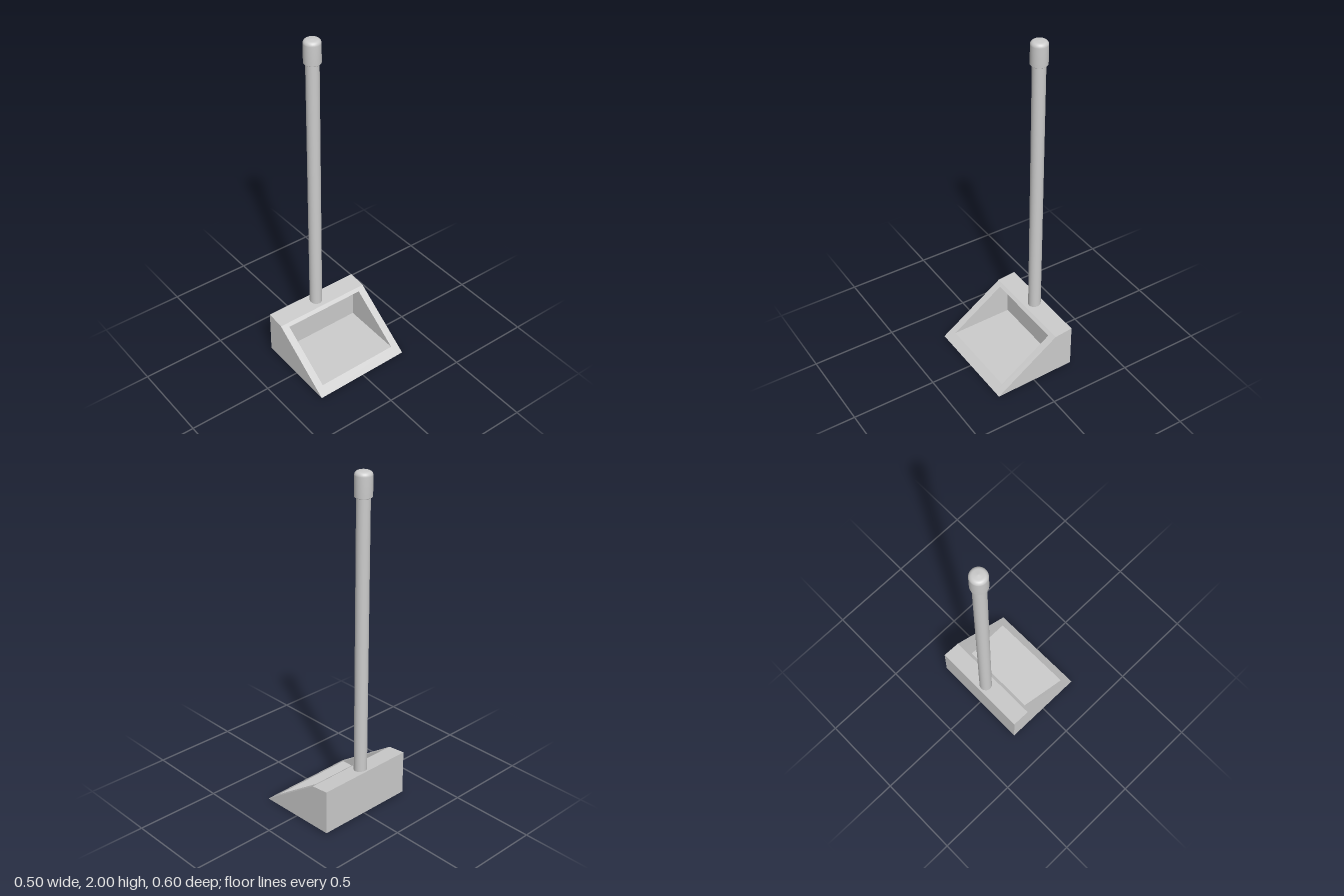
import * as THREE from 'three';

const material = new THREE.MeshStandardMaterial({ color: 0xcccccc, side: THREE.DoubleSide });

// Extrudes an x/y profile between two z planes, with the slightly skewed front lip
function slab(name, points, z0, z1) {
  const shape = new THREE.Shape(points.map(([x, y]) => new THREE.Vector2(x, y)));
  const geometry = new THREE.ExtrudeGeometry(shape, { depth: z1 - z0, bevelEnabled: false });
  geometry.translate(0, 0, z0);
  const p = geometry.attributes.position;
  for (let i = 0; i < p.count; i++) {
    const x = p.getX(i);
    p.setX(i, x + 0.012 * p.getZ(i) * (x + 0.25) / 0.49);
  }
  geometry.computeVertexNormals();
  const mesh = new THREE.Mesh(geometry, material);
  mesh.name = name;
  return mesh;
}

// Turns a radius/height profile into a round part on the handle axis
function turned(name, points, segments = 32) {
  const geometry = new THREE.LatheGeometry(points.map(([r, y]) => new THREE.Vector2(r, y)), segments);
  const mesh = new THREE.Mesh(geometry, material);
  mesh.name = name;
  mesh.position.set(-0.2, 0, 0.005);
  return mesh;
}

export function createModel() {
  const model = new THREE.Group();
  model.name = 'dustpan';

  // Pan: two solid side walls and a hollow middle section with an overhanging hood
  const back = [[-0.25, 0.28], [-0.25, 0.015]];
  const lip = [0.245, 0.002];
  const ridge = [-0.14, 0.268];
  const onSlope = (x) => [x, ridge[1] + (lip[1] - ridge[1]) * (x - ridge[0]) / (lip[0] - ridge[0])];
  const wall = [...back, lip, ridge];
  const hollow = [...back, lip, onSlope(0.195), [-0.175, 0.043], [-0.175, 0.235], onSlope(-0.12), ridge];

  const pan = new THREE.Group();
  pan.name = 'pan';
  pan.add(
    slab('leftWall', wall, 0.255, 0.3),
    slab('rightWall', wall, -0.3, -0.255),
    slab('floorAndHood', hollow, -0.255, 0.255),
  );
  model.add(pan);

  // Upright handle
  model.add(turned('handle', [[0.037, 0.25], [0.037, 1.88]]));

  // Grip cap with a rounded top edge
  const cap = [[0, 1.862], [0.044, 1.862], [0.048, 1.866], [0.048, 1.975]];
  for (let i = 1; i <= 6; i++) {
    const a = (i / 6) * Math.PI / 2;
    cap.push([0.026 + 0.022 * Math.cos(a), 1.975 + 0.022 * Math.sin(a)]);
  }
  cap.push([0, 2]);
  model.add(turned('gripCap', cap));

  return model;
}
